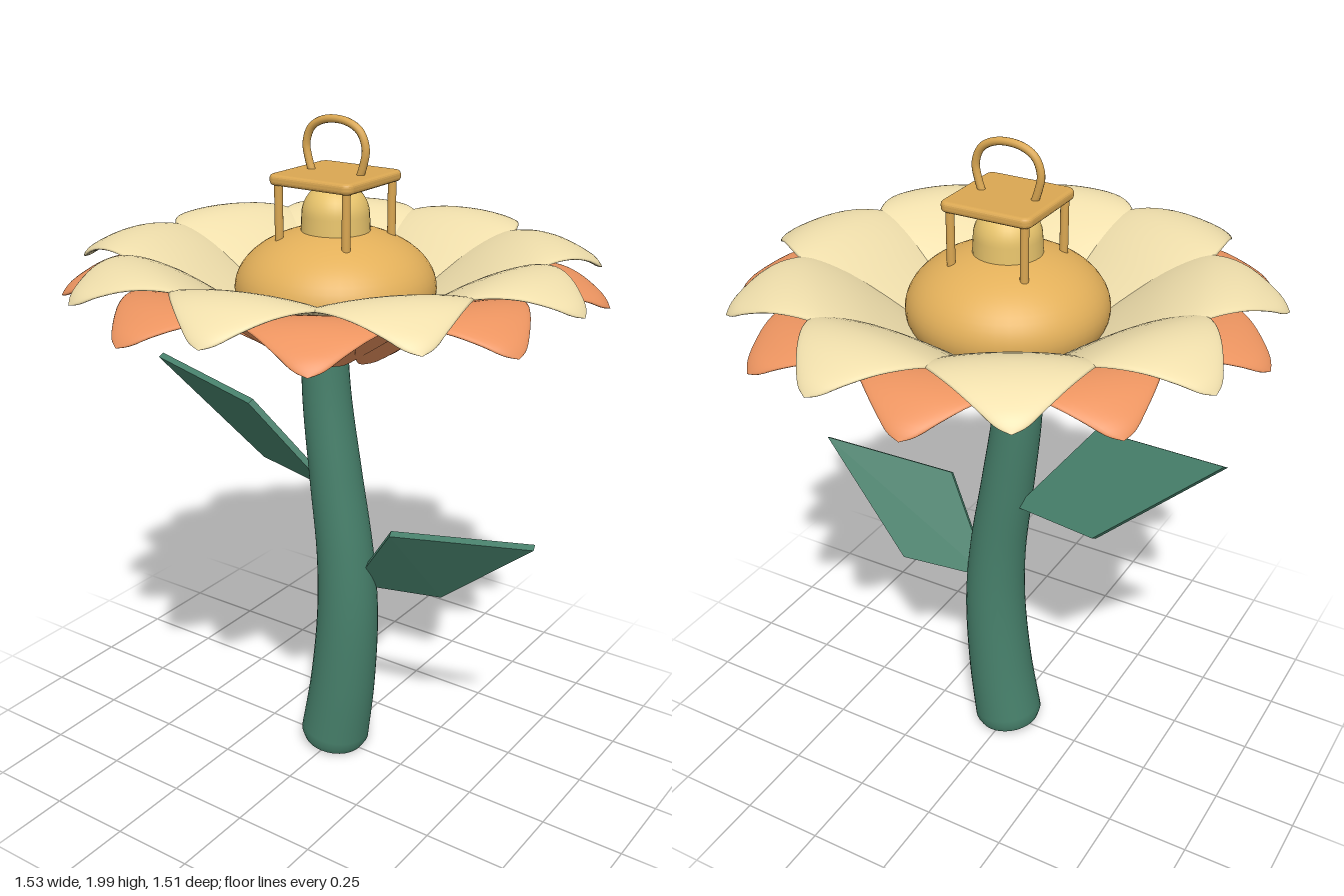
import * as THREE from 'three';
import { ConvexGeometry } from 'three/addons/geometries/ConvexGeometry.js';

const V = (x, y, z = 0) => new THREE.Vector3(x, y, z);
const paint = (color) => new THREE.MeshStandardMaterial({ color });
const green = paint(0x467f6a), orange = paint(0xec9460), cream = paint(0xf0dfac);
const gold = paint(0xe3b05a), brass = paint(0xdaa752), glow = paint(0xe8c46c);

function add(parent, name, geometry, material, x = 0, y = 0, z = 0) {
  const mesh = new THREE.Mesh(geometry, material);
  mesh.name = name;
  mesh.position.set(x, y, z);
  parent.add(mesh);
  return mesh;
}

// Skins a grid of points: rings along the length, closed around each ring
function skin(rings, sides, pointAt) {
  const pos = [], index = [];
  for (let i = 0; i <= rings; i++) {
    for (let j = 0; j < sides; j++) {
      pos.push(...pointAt(i / rings, (j / sides) * Math.PI * 2).toArray());
      if (i === rings) continue;
      const a = i * sides + j, b = i * sides + (j + 1) % sides;
      index.push(a, a + sides, b, b, a + sides, b + sides);
    }
  }
  const g = new THREE.BufferGeometry();
  g.setAttribute('position', new THREE.Float32BufferAttribute(pos, 3));
  g.setIndex(index);
  g.computeVertexNormals();
  return g;
}

// Petal spine: x = radius, y = height, z = half width
function petalGeometry() {
  const spine = new THREE.CatmullRomCurve3([
    V(0.14, 1.342, 0), V(0.165, 1.355, 0.04), V(0.22, 1.4, 0.09), V(0.32, 1.476, 0.16),
    V(0.43, 1.549, 0.206), V(0.52, 1.587, 0.217), V(0.585, 1.596, 0.186), V(0.65, 1.587, 0.138),
    V(0.71, 1.561, 0.082), V(0.75, 1.535, 0.036), V(0.765, 1.522, 0),
  ]);
  return skin(36, 24, (t, a) => {
    const p = spine.getPoint(t);
    const w = Math.max(p.z, 0), thick = 0.013 * Math.min(1, w / 0.05);
    const across = Math.cos(a);
    return V(p.x, p.y - 0.012 * across * across * (w / 0.22) ** 2 + thick * Math.sin(a), w * across);
  });
}

// Curved stem that narrows towards the flower, with a rounded foot
function addStem(parent) {
  const path = new THREE.CatmullRomCurve3([
    V(-0.005, 0.024), V(0.028, 0.25), V(0.045, 0.5), V(0.035, 0.7),
    V(0, 0.95), V(-0.032, 1.2), V(-0.042, 1.45),
  ]);
  const radius = (t) => (0.109 - 0.042 * Math.min(1, t * 1.05)) * Math.min(1, 0.9 + 6 * t);
  add(parent, 'stem', skin(60, 32, (t, a) => {
    const d = path.getTangent(t), r = radius(t);
    return path.getPoint(t).add(V(d.y * r * Math.cos(a), -d.x * r * Math.cos(a), r * Math.sin(a)));
  }), green);
  const foot = add(parent, 'stemFoot', new THREE.CircleGeometry(radius(0), 32), green);
  foot.position.copy(path.getPoint(0));
  foot.lookAt(foot.position.clone().sub(path.getTangent(0)));
}

// Thin kite-shaped leaf, tilted; side mirrors it across x
function leafGeometry(side, lift) {
  const corners = [V(0.67, 0.9, 0.01), V(0.25, 0.855, 0.085), V(0.05, 0.59, -0.03), V(0.33, 0.605, -0.085)];
  const normal = V(0.028, -0.069, 0.112).normalize();
  const points = corners.flatMap((c) => [-0.01, 0.01].map((s) => c.clone().addScaledVector(normal, s)));
  points.forEach((p) => p.set(p.x * side, p.y + lift, p.z));
  return new ConvexGeometry(points);
}

// Square plate with rounded corners and softened rims, lying flat
function plateGeometry(half, corner, height, bevel) {
  const s = new THREE.Shape(), h = half - bevel, c = h - corner;
  s.absarc(c, c, corner, 0, Math.PI / 2);
  s.absarc(-c, c, corner, Math.PI / 2, Math.PI);
  s.absarc(-c, -c, corner, Math.PI, Math.PI * 1.5);
  s.absarc(c, -c, corner, Math.PI * 1.5, Math.PI * 2);
  return new THREE.ExtrudeGeometry(s, {
    depth: height - 2 * bevel, bevelSize: bevel, bevelThickness: bevel, bevelSegments: 4, curveSegments: 6,
  }).center().rotateX(-Math.PI / 2);
}

// Small lantern standing on the flower centre
function addLantern(parent) {
  const lantern = new THREE.Group();
  lantern.name = 'lantern';
  parent.add(lantern);
  add(lantern, 'lanternPlate', plateGeometry(0.136, 0.014, 0.03, 0.011), brass, 0, 1.836, 0);
  for (const x of [-0.112, 0.112])
    for (const z of [-0.112, 0.112])
      add(lantern, 'lanternPost', new THREE.CapsuleGeometry(0.012, 0.17, 6, 16), brass, x, 1.74, z);
  // Bulb with a domed top
  const profile = [new THREE.Vector2(0.1, 1.64)];
  for (let i = 0; i <= 12; i++) {
    const a = (i / 12) * Math.PI / 2;
    profile.push(new THREE.Vector2(0.095 * Math.cos(a), 1.735 + 0.09 * Math.sin(a)));
  }
  add(lantern, 'lanternBulb', new THREE.LatheGeometry(profile, 32), glow);
  // Hanging loop
  const loop = new THREE.CatmullRomCurve3([
    V(-0.078, 1.84), V(-0.09, 1.875), V(-0.098, 1.92), V(-0.08, 1.965), V(-0.035, 1.989),
    V(0.035, 1.989), V(0.08, 1.965), V(0.098, 1.92), V(0.09, 1.875), V(0.078, 1.84),
  ]);
  add(lantern, 'lanternLoop', new THREE.TubeGeometry(loop, 48, 0.011, 12), brass);
}

export function createModel() {
  const model = new THREE.Group();
  model.name = 'lanternFlower';
  addStem(model);
  add(model, 'leftLeaf', leafGeometry(1, 0), green);
  add(model, 'rightLeaf', leafGeometry(-1, 0.3), green);

  // Two rings of nine petals, the upper one turned half a step
  const petal = petalGeometry();
  const step = (Math.PI * 2) / 9;
  for (let i = 0; i < 9; i++) {
    add(model, 'lowerPetal', petal, orange).rotation.y = (i + 0.5) * step;
    add(model, 'upperPetal', petal, cream, 0, 0.045, 0).rotation.y = i * step;
  }

  // Flattened flower centre
  add(model, 'flowerCentre', new THREE.SphereGeometry(0.285, 48, 32), gold, 0, 1.53, 0).scale.y = 0.6;
  addLantern(model);
  return model;
}
